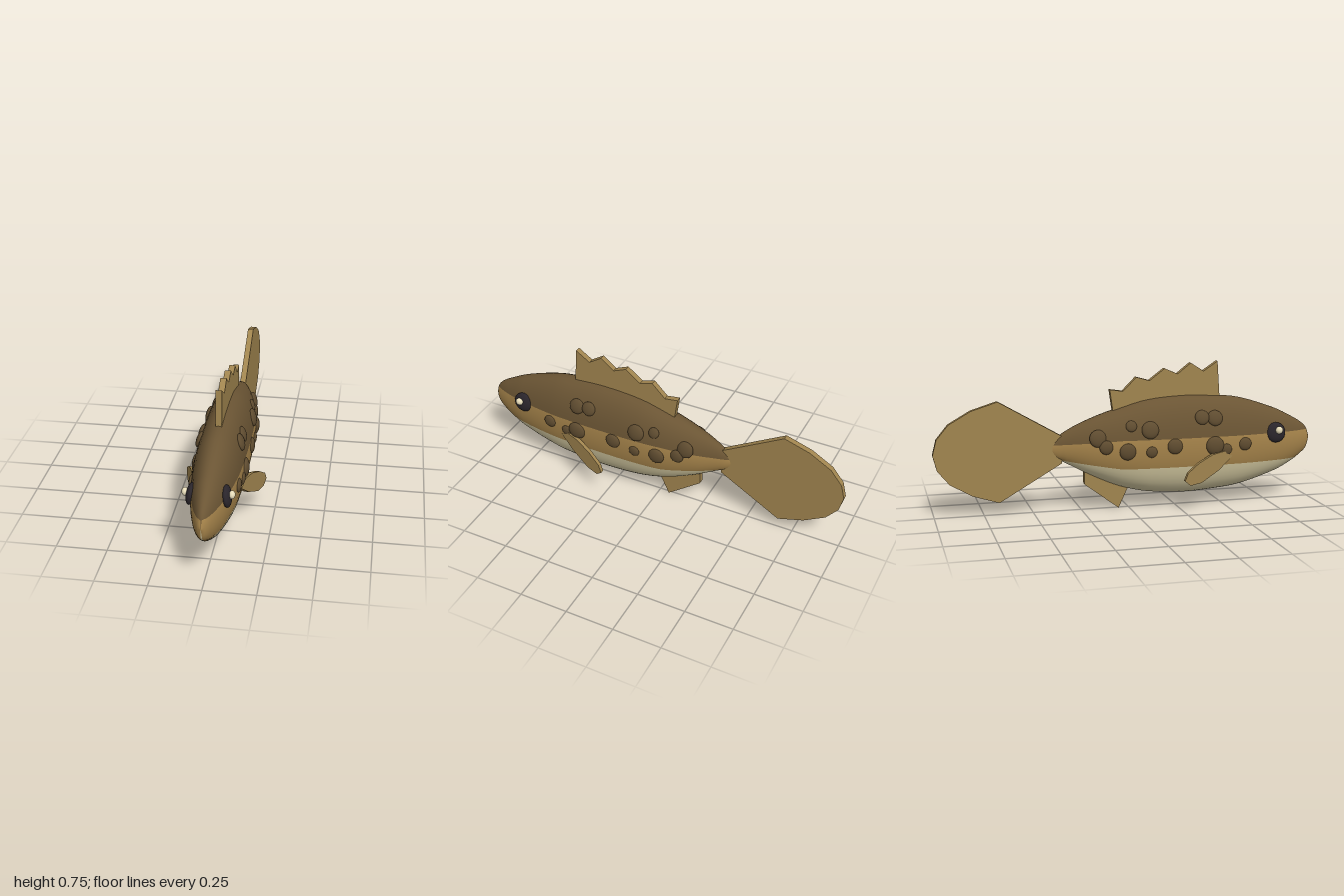
import * as THREE from 'three';

const mat = (name, color) => {
  const m = new THREE.MeshStandardMaterial({ color });
  m.name = name;
  return m;
};

// Body stations from nose to tail: z, bottom, top, half width
const STATIONS = [
  [1, 0.322, 0.33, 0.004], [0.985, 0.27, 0.375, 0.022], [0.95, 0.235, 0.41, 0.04],
  [0.9, 0.2, 0.44, 0.058], [0.8, 0.15, 0.49, 0.083], [0.6, 0.09, 0.555, 0.112],
  [0.45, 0.072, 0.573, 0.12], [0.3, 0.064, 0.58, 0.123], [0.1, 0.078, 0.565, 0.122],
  [-0.05, 0.115, 0.525, 0.112], [-0.2, 0.18, 0.475, 0.082], [-0.33, 0.25, 0.415, 0.04],
  [-0.4, 0.29, 0.36, 0.015], [-0.415, 0.32, 0.33, 0.004],
];

// Smooth elliptical section of the body at a given z
function section(z) {
  const S = STATIONS;
  let i = 0;
  while (i < S.length - 2 && z < S[i + 1][0]) i++;
  const slope = (j, k) => {
    const a = S[Math.max(j - 1, 0)], b = S[Math.min(j + 1, S.length - 1)];
    return (b[k] - a[k]) / (b[0] - a[0]);
  };
  const d = S[i + 1][0] - S[i][0];
  const t = (z - S[i][0]) / d, t2 = t * t, t3 = t2 * t;
  const at = (k) => (2 * t3 - 3 * t2 + 1) * S[i][k] + (t3 - 2 * t2 + t) * d * slope(i, k)
    + (3 * t2 - 2 * t3) * S[i + 1][k] + (t3 - t2) * d * slope(i + 1, k);
  const bottom = at(1), top = at(2);
  return { c: (top + bottom) / 2, h: (top - bottom) / 2, w: at(3) };
}

// Lofted body; the rings are divided at the heights where the colours meet
function bodyGeometry() {
  const zs = [];
  for (let i = 0; i < STATIONS.length - 1; i++) {
    for (let k = 0; k < 4; k++) zs.push(THREE.MathUtils.lerp(STATIONS[i][0], STATIONS[i + 1][0], k / 4));
  }
  zs.push(STATIONS.at(-1)[0]);
  const n = 8; // steps per colour band on each side
  const count = n * 6;
  const pos = [];
  for (const z of zs) {
    const { c, h, w } = section(z);
    const rise = Math.max(0, -0.05 - z);
    const angleAt = (y) => Math.acos(THREE.MathUtils.clamp((y - c) / h, -0.99, 0.99));
    const marks = [0, angleAt(0.37 - rise * 0.07), angleAt(0.22 + rise * 0.15), Math.PI];
    const half = [];
    for (let b = 0; b < 3; b++) {
      for (let k = 0; k < n; k++) half.push(THREE.MathUtils.lerp(marks[b], marks[b + 1], k / n));
    }
    half.push(Math.PI);
    for (let k = 0; k < count; k++) {
      const a = k <= 3 * n ? half[k] : -half[count - k];
      pos.push(w * Math.sin(a), c + h * Math.cos(a), z);
    }
  }
  const bands = [[], [], []];
  for (let i = 0; i < zs.length - 1; i++) {
    for (let k = 0; k < count; k++) {
      const k2 = (k + 1) % count;
      const a = i * count + k, b = i * count + k2;
      const band = Math.floor((k < 3 * n ? k : count - 1 - k) / n);
      bands[band].push(a, b, a + count, b, b + count, a + count);
    }
  }
  // End caps
  const last = (zs.length - 1) * count;
  for (let k = 1; k < count - 1; k++) {
    bands[1].push(0, k + 1, k, last, last + k, last + k + 1);
  }
  const g = new THREE.BufferGeometry();
  g.setAttribute('position', new THREE.Float32BufferAttribute(pos, 3));
  g.setIndex(bands.flat());
  let start = 0;
  bands.forEach((b, i) => {
    g.addGroup(start, b.length, i);
    start += b.length;
  });
  g.computeVertexNormals();
  return g;
}

// Flat plate from (z, y) outline points, centred on x = 0
function plate(points, thickness) {
  const shape = new THREE.Shape(points.map(([z, y]) => new THREE.Vector2(z, y)));
  const g = new THREE.ExtrudeGeometry(shape, { depth: thickness, bevelEnabled: false });
  return g.translate(0, 0, -thickness / 2).rotateY(-Math.PI / 2);
}

export function createModel() {
  const root = new THREE.Group();
  root.name = 'fish';
  const back = mat('darkBrownBack', 0x6b5534);
  const flank = mat('tanFlank', 0xa5834a);
  const belly = mat('creamBelly', 0xd6cba2);
  const fin = mat('finTan', 0xa1854f);
  const spotMat = mat('spotBrown', 0x5f4c30);
  const eyeMat = mat('eyeDark', 0x2a252b);
  const glint = mat('eyeGlint', 0xeee3c0);

  const add = (name, geometry, material) => {
    const m = new THREE.Mesh(geometry, material);
    m.name = name;
    root.add(m);
    return m;
  };

  add('body', bodyGeometry(), [back, flank, belly]);

  // Fins on the centre line
  add('dorsalFin', plate([
    [0.49, 0.54], [0.475, 0.75], [0.4, 0.7], [0.33, 0.745], [0.26, 0.69], [0.19, 0.72],
    [0.11, 0.66], [0.04, 0.68], [-0.03, 0.61], [-0.1, 0.62], [-0.08, 0.48], [0.2, 0.5],
  ], 0.03), fin);
  const rim = [[-0.35, 0.07], [-0.673, 0.258], [-0.807, 0.216], [-0.92, 0.151], [-0.98, 0.078]];
  add('tailFin', plate([
    ...rim.map(([z, y]) => [z, 0.322 + y]), [-1, 0.322],
    ...rim.map(([z, y]) => [z, 0.322 - y]).reverse(),
  ], 0.03), fin);
  add('analFin', plate([
    [0.01, 0.14], [-0.055, 0], [-0.235, 0.135], [-0.235, 0.23], [-0.02, 0.2],
  ], 0.03), fin);

  // Flattened dome lying on the body surface
  const dome = new THREE.SphereGeometry(1, 24, 16);
  function onSkin(name, material, side, z, y, r, depth) {
    const { c, h, w } = section(z);
    const x = w * Math.sqrt(1 - ((y - c) / h) ** 2);
    const normal = new THREE.Vector3(side * x / w ** 2, (y - c) / h ** 2, 0).normalize();
    const m = add(name, dome, material);
    m.position.set(side * x, y, z);
    m.quaternion.setFromUnitVectors(new THREE.Vector3(side, 0, 0), normal);
    m.scale.set(depth, r, r);
  }

  // Spots on each flank: z, y, radius
  const spots = [
    [0.6, 0.325, 0.034], [0.495, 0.302, 0.03], [0.432, 0.325, 0.048], [0.217, 0.332, 0.04],
    [0.094, 0.308, 0.029], [-0.03, 0.314, 0.043], [-0.137, 0.338, 0.036], [-0.177, 0.383, 0.045],
    [0.437, 0.466, 0.041], [0.367, 0.472, 0.038], [0.088, 0.42, 0.045], [-0.008, 0.442, 0.029],
  ];

  for (const side of [1, -1]) {
    const label = side > 0 ? 'left' : 'right';
    spots.forEach(([z, y, r]) => onSkin(label + 'Spot', spotMat, side, z, y, r, r * 0.4));

    // Eye with a small bright glint
    onSkin(label + 'Eye', eyeMat, side, 0.78, 0.372, 0.053, 0.022);
    const g = add(label + 'EyeGlint', dome, glint);
    g.position.set(side * 0.108, 0.387, 0.79);
    g.scale.set(0.015, 0.02, 0.02);

    // Pectoral fin, swept outwards towards its tip
    const p = plate([
      [0.53, 0.265], [0.48, 0.295], [0.41, 0.285], [0.33, 0.25], [0.265, 0.205],
      [0.247, 0.165], [0.28, 0.138], [0.345, 0.145], [0.45, 0.2],
    ], 0.022);
    const a = p.attributes.position;
    for (let i = 0; i < a.count; i++) a.setX(i, a.getX(i) + side * (0.12 + 0.31 * (0.48 - a.getZ(i))));
    p.computeVertexNormals();
    add(label + 'PectoralFin', p, fin);
  }
  return root;
}
